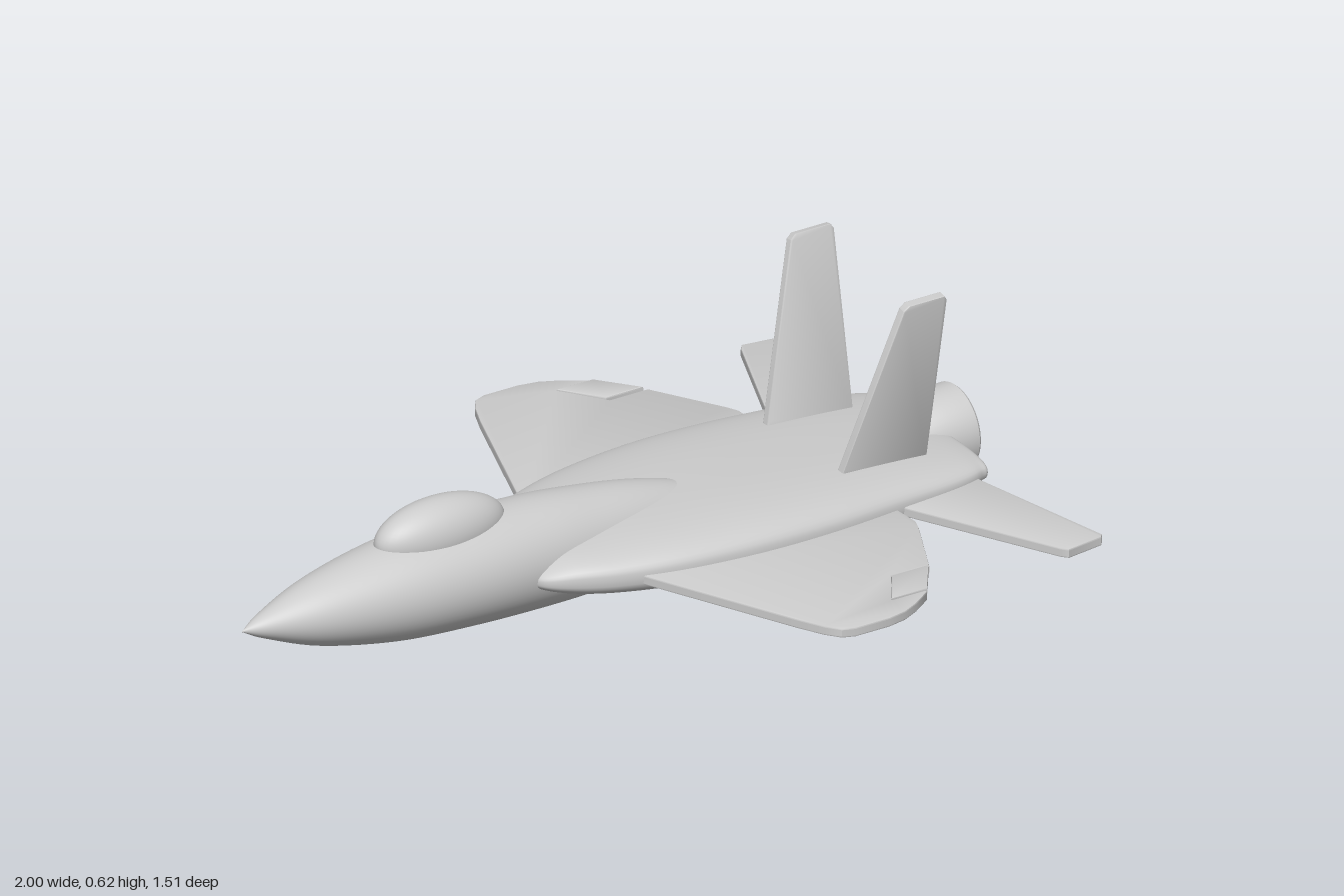
import * as THREE from 'three';
import { toCreasedNormals } from 'three/addons/utils/BufferGeometryUtils.js';

const material = new THREE.MeshStandardMaterial({ color: 0xcccccc });

function part(name, geometry) {
  const mesh = new THREE.Mesh(geometry, material);
  mesh.name = name;
  return mesh;
}

// Smooth hull along x. Each station is [x, top, bottom, halfWidth];
// power 2 gives an ellipse, more gives a squarer section.
function hull(stations, power, rows = 72, sides = 56) {
  const curve = (f) => new THREE.CatmullRomCurve3(stations.map(f), false, 'catmullrom', 0.5);
  const heights = curve(([x, top, bottom]) => new THREE.Vector3(x, top, bottom));
  const widths = curve(([x, , , w]) => new THREE.Vector3(x, w, 0));
  const bend = (v) => Math.sign(v) * Math.pow(Math.abs(v), 2 / power);
  const pos = [], index = [];
  for (let j = 0; j <= rows; j++) {
    const h = heights.getPoint(j / rows), w = Math.max(widths.getPoint(j / rows).y, 0);
    for (let i = 0; i < sides; i++) {
      const a = (i / sides) * Math.PI * 2;
      pos.push(h.x, (h.y + h.z) / 2 + bend(Math.sin(a)) * (h.y - h.z) / 2, bend(Math.cos(a)) * w);
      if (j === rows) continue;
      const p = j * sides + i, q = j * sides + (i + 1) % sides;
      index.push(p, p + sides, q, q, p + sides, q + sides);
    }
  }
  const g = new THREE.BufferGeometry();
  g.setAttribute('position', new THREE.Float32BufferAttribute(pos, 3));
  g.setIndex(index);
  g.computeVertexNormals();
  return g;
}

// Flat plate from an outline, centred on its thickness, with a fine bevel
function plate(points, thickness, bevel = 0.004) {
  const shape = new THREE.Shape(points.map(([x, y]) => new THREE.Vector2(x, y)));
  const g = new THREE.ExtrudeGeometry(shape, {
    depth: thickness - 2 * bevel, bevelEnabled: true, bevelThickness: bevel,
    bevelSize: bevel, bevelOffset: -bevel, bevelSegments: 2,
  });
  g.translate(0, 0, -thickness / 2 + bevel);
  return toCreasedNormals(g, 0.6);
}

const flatPlate = (points, side, thickness) =>
  plate(points.map(([x, z]) => [x, z * side]), thickness).rotateX(Math.PI / 2);

export function createModel() {
  const model = new THREE.Group();

  // Round forward fuselage, fading into the main body
  model.add(part('fuselage', hull([
    [-1, 0.145, 0.143, 0], [-0.94, 0.175, 0.113, 0.034], [-0.8, 0.223, 0.062, 0.086],
    [-0.6, 0.261, 0.024, 0.125], [-0.4, 0.273, 0.01, 0.137], [-0.2, 0.271, 0.003, 0.13],
    [-0.05, 0.257, 0.004, 0.117], [0.08, 0.238, 0.019, 0.1], [0.2, 0.209, 0.054, 0.075],
    [0.27, 0.18, 0.085, 0.045], [0.31, 0.132, 0.128, 0],
  ], 2)));

  // Wide flattened main body
  model.add(part('mainBody', hull([
    [-0.28, 0.126, 0.122, 0.08], [-0.265, 0.15, 0.1, 0.145], [-0.2, 0.178, 0.078, 0.195],
    [-0.1, 0.191, 0.065, 0.24], [0.05, 0.203, 0.056, 0.282], [0.25, 0.21, 0.051, 0.306],
    [0.45, 0.208, 0.052, 0.306], [0.65, 0.2, 0.06, 0.288], [0.8, 0.189, 0.076, 0.272],
    [0.88, 0.178, 0.094, 0.25], [0.91, 0.165, 0.108, 0.215], [0.92, 0.137, 0.133, 0],
  ], 2.8)));

  const canopy = part('canopy', new THREE.SphereGeometry(1, 48, 32));
  canopy.scale.set(0.175, 0.084, 0.076);
  canopy.position.set(-0.453, 0.256, 0);
  model.add(canopy);

  // Engine pod with stepped, hollow nozzle
  const nozzle = [
    [0, 0.72], [0.025, 0.735], [0.052, 0.77], [0.074, 0.815], [0.09, 0.86], [0.1, 0.91],
    [0.104, 0.95], [0.105, 0.974], [0.1, 0.98], [0.086, 0.98], [0.083, 0.965], [0.066, 0.965],
    [0.063, 0.995], [0.059, 1], [0.049, 1], [0.046, 0.994], [0.043, 0.95], [0, 0.95],
  ].map(([r, x]) => new THREE.Vector2(r, x));
  const engine = new THREE.LatheGeometry(nozzle, 48).rotateZ(-Math.PI / 2);
  engine.translate(0, 0.142, 0);
  model.add(part('engineNozzle', toCreasedNormals(engine, 0.5)));

  for (const side of [1, -1]) {
    const label = side > 0 ? 'left' : 'right';

    // Main wing with a notch for the aileron
    const wing = part(label + 'Wing', flatPlate([
      [-0.07, 0.22], [-0.06, 0.25], [0.1, 0.645], [0.13, 0.71], [0.155, 0.745], [0.185, 0.757],
      [0.28, 0.757], [0.33, 0.747], [0.375, 0.725], [0.43, 0.688], [0.435, 0.68],
      [0.34, 0.68], [0.41, 0.572], [0.515, 0.572], [0.61, 0.39], [0.622, 0.36], [0.62, 0.2],
    ], side, 0.024));
    wing.position.y = 0.123;
    model.add(wing);

    // Aileron, raised slightly
    const aileron = part(label + 'Aileron', flatPlate([
      [0.335, 0.68], [0.405, 0.58], [0.508, 0.58], [0.436, 0.68],
    ], side, 0.018));
    aileron.position.y = 0.13;
    model.add(aileron);

    // Swept tailplane
    const tailplane = part(label + 'Tailplane', flatPlate([
      [0.59, 0.17], [0.635, 0.26], [0.812, 0.65], [0.825, 0.666], [0.925, 0.651],
      [0.934, 0.64], [0.87, 0.25], [0.858, 0.17],
    ], side, 0.024));
    tailplane.position.set(0, 0.124, 0.02);
    model.add(tailplane);

    // Fin leaning outwards
    const fin = part(label + 'Fin', plate([
      [0.54, -0.03], [0.785, -0.03], [0.787, 0.42], [0.779, 0.432], [0.682, 0.432],
      [0.668, 0.42], [0.553, 0.015],
    ], 0.023));
    fin.position.set(0, 0.195, side * 0.152 + 0.006);
    fin.rotation.x = side * 0.185;
    model.add(fin);
  }
  return model;
}
